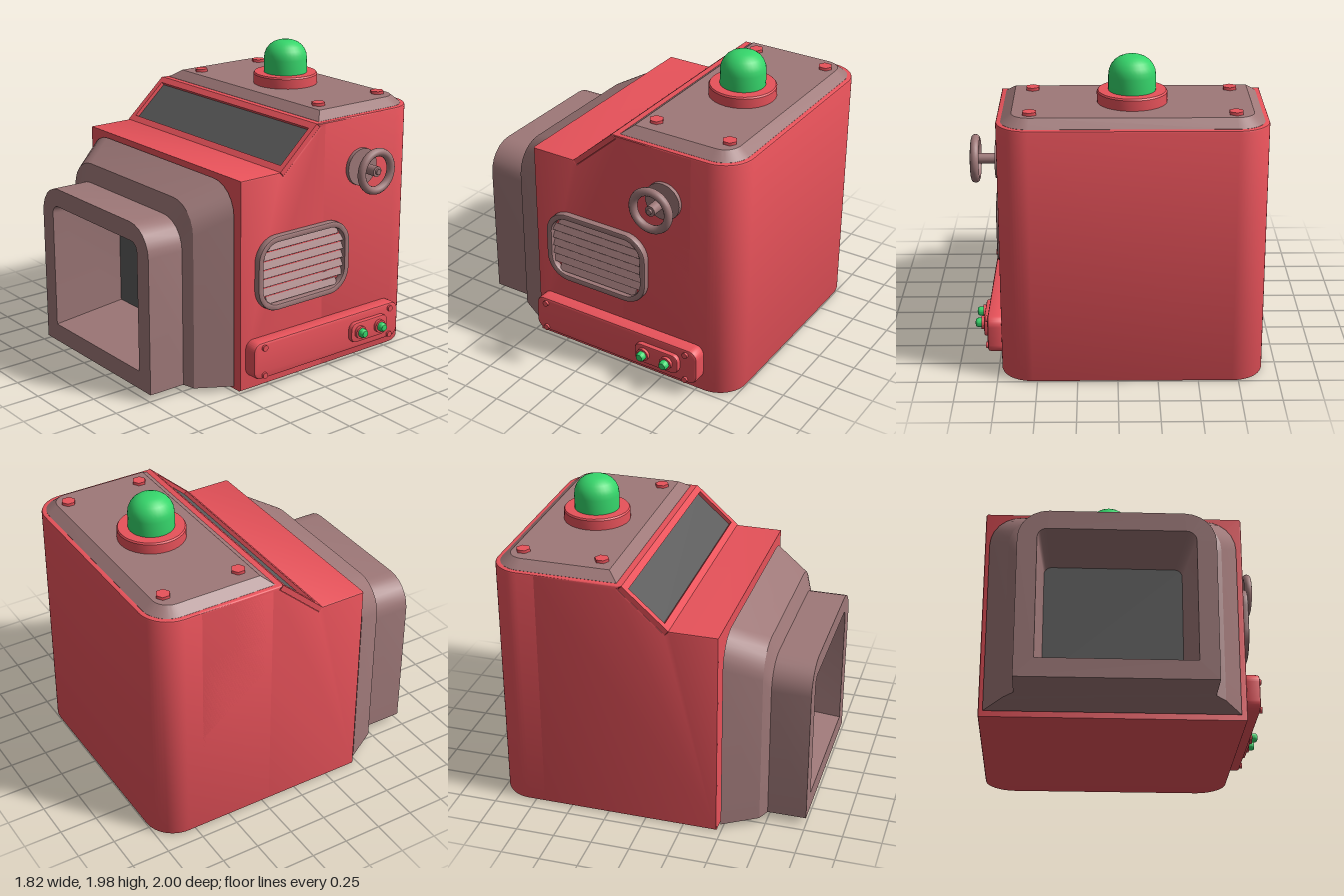
import * as THREE from 'three';
import { toCreasedNormals } from 'three/addons/utils/BufferGeometryUtils.js';

const paint = (color) => new THREE.MeshStandardMaterial({ color });
const RED = paint(0xe8525a), BROWN = paint(0x9e7878), DARK = paint(0x5c5c5c), GREEN = paint(0x35d66b);
const CX = -0.09;   // middle of the cabinet
const SIDE = 0.73;  // x of the cabinet's left wall

export function createModel() {
  const model = new THREE.Group();

  const add = (name, geometry, material, x = 0, y = 0, z = 0, parent = model) => {
    const mesh = new THREE.Mesh(geometry, material);
    mesh.name = name;
    mesh.position.set(x, y, z);
    parent.add(mesh);
    return mesh;
  };

  // rectangle with separate radii for its bottom and top corners
  const rect = (x0, x1, y0, y1, rb = 0, rt = rb, Type = THREE.Shape) => {
    const s = new Type();
    s.moveTo(x0 + rb, y0).lineTo(x1 - rb, y0);
    if (rb) s.absarc(x1 - rb, y0 + rb, rb, -Math.PI / 2, 0, false);
    s.lineTo(x1, y1 - rt);
    if (rt) s.absarc(x1 - rt, y1 - rt, rt, 0, Math.PI / 2, false);
    s.lineTo(x0 + rt, y1);
    if (rt) s.absarc(x0 + rt, y1 - rt, rt, Math.PI / 2, Math.PI, false);
    s.lineTo(x0, y0 + rb);
    if (rb) s.absarc(x0 + rb, y0 + rb, rb, Math.PI, Math.PI * 1.5, false);
    return s;
  };

  // extrusion of exact total depth whose bevel stays inside the outline
  const slab = (shape, depth, bevel = 0, size = bevel, segments = 2) => {
    const g = new THREE.ExtrudeGeometry(shape, {
      depth: depth - 2 * bevel, bevelEnabled: bevel > 0, bevelThickness: bevel,
      bevelSize: size, bevelOffset: -size, bevelSegments: segments, curveSegments: 8,
    });
    g.translate(0, 0, bevel);
    return toCreasedNormals(g, 0.6);
  };
  const upright = (g) => g.rotateX(-Math.PI / 2);  // shape (x, -z), grows along +y
  const sideways = (g) => g.rotateY(Math.PI / 2);  // shape (-z, y), grows along +x
  const peg = (r, h, sides = 24) => new THREE.CylinderGeometry(r, r, h, sides);
  const sidePeg = (r, h, sides = 24) => peg(r, h, sides).rotateZ(-Math.PI / 2);

  // Cabinet: side profile with a notch for the sloped window, and a rounded back
  const [sz, sy] = [0.29, 0.26], slope = Math.hypot(sz, sy), sink = 0.035;
  const nz = sy / slope * sink, ny = sz / slope * sink;
  const profile = new THREE.Shape([
    [0.47, 0], [-0.7, 0], [-0.7, 1.64], [-0.13, 1.64], [-0.13 - nz, 1.64 - ny],
    [0.16 - nz, 1.38 - ny], [0.16, 1.38], [0.47, 1.38],
  ].map(([z, y]) => new THREE.Vector2(-z, y)));
  add('cabinetFront', sideways(slab(profile, 1.64, 0.012)), RED, CX - 0.82);
  add('cabinetBack', upright(slab(rect(-0.82, 0.82, 0.2, 1, 0, 0.2), 1.64, 0.012)), RED, CX);

  // Sloped window
  const windowGroup = new THREE.Group();
  windowGroup.name = 'slopedWindow';
  windowGroup.position.set(CX, 1.38 - ny, 0.16 - nz);
  windowGroup.rotation.x = -Math.atan2(sz, sy);
  model.add(windowGroup);
  const frame = rect(-0.82, 0.82, 0, slope);
  frame.holes.push(rect(-0.78, 0.78, 0.045, 0.345, 0, 0, THREE.Path));
  add('windowFrame', slab(frame, sink), RED, 0, 0, 0, windowGroup);
  add('windowGlass', new THREE.BoxGeometry(1.57, 0.31, 0.016), DARK, 0, 0.195, 0.002, windowGroup);

  // Roof plate with hexagonal bolts
  add('roofPlate', upright(slab(rect(-0.79, 0.79, 0.17, 0.97, 0, 0.17), 0.101, 0.05, 0.065, 1)), BROWN, CX, 1.59);
  for (const x of [-0.615, 0.615])
    for (const z of [-0.83, -0.32]) add('roofBolt', peg(0.046, 0.03, 6), RED, CX + x, 1.695, z);

  // Beacon
  const lathe = (points) => toCreasedNormals(
    new THREE.LatheGeometry(points.map(([r, y]) => new THREE.Vector2(r, y)), 32), 0.6);
  add('beaconBase', lathe([[0, 0], [0.215, 0], [0.215, 0.07], [0.208, 0.08], [0, 0.08]]), RED, CX, 1.685, -0.565);
  const dome = [[0.145, 0]];
  for (let i = 0; i <= 6; i++) {
    const a = i / 6 * Math.PI / 2;
    dome.push([0.025 + 0.12 * Math.cos(a), 0.1 + 0.12 * Math.sin(a)]);
  }
  dome.push([0, 0.22]);
  add('beaconLamp', lathe(dome), GREEN, CX, 1.76, -0.565);

  // Screen hood: rings with rounded top corners, lofted out, over the rim and back in
  const ring = ([x0, x1, y0, y1, r, z]) => {
    const pts = [[x0, y0, z], [x1, y0, z]];
    for (const [cx, start] of [[x1 - r, 0], [x0 + r, Math.PI / 2]])
      for (let i = 0; i <= 6; i++) {
        const a = start + i / 6 * Math.PI / 2;
        pts.push([cx + r * Math.cos(a), y1 - r + r * Math.sin(a), z]);
      }
    return pts;
  };
  const rings = [
    [-0.53, 0.34, 0.24, 0.99, 0.05, 0.49],
    [-0.88, 0.69, 0.03, 1.35, 0.2, 0.49],
    [-0.75, 0.57, 0.035, 1.24, 0.2, 0.71],
    [-0.69, 0.51, 0.05, 1.13, 0.19, 0.75],
    [-0.69, 0.51, 0.05, 1.13, 0.19, 1],
    [-0.57, 0.39, 0.17, 1.01, 0.06, 1],
    [-0.53, 0.34, 0.24, 0.99, 0.05, 0.5],
  ].map(ring);
  const n = rings[0].length, index = [];
  for (let k = 0; k < rings.length - 1; k++)
    for (let i = 0; i < n; i++) {
      const a = k * n + i, b = k * n + (i + 1) % n;
      index.push(a, b, b + n, a, b + n, a + n);
    }
  const hood = new THREE.BufferGeometry();
  hood.setAttribute('position', new THREE.Float32BufferAttribute(rings.flat(2), 3));
  hood.setIndex(index);
  add('screenHood', toCreasedNormals(hood, 0.4), BROWN);
  add('screen', new THREE.BoxGeometry(0.87, 0.75, 0.02), DARK, -0.095, 0.615, 0.5);
  add('hoodNeck', new THREE.BoxGeometry(0.86, 0.75, 0.04), BROWN, -0.095, 0.615, 0.475);

  // Valve wheel on the left wall
  add('valveFlange', sidePeg(0.122, 0.03, 32), BROWN, SIDE + 0.01, 1.3, -0.505);
  add('valveStem', sidePeg(0.034, 0.15), BROWN, SIDE + 0.085, 1.3, -0.505);
  add('valveStemTip', sidePeg(0.018, 0.02), BROWN, SIDE + 0.165, 1.3, -0.505);
  add('valveWheel', new THREE.TorusGeometry(0.125, 0.027, 12, 40).rotateY(Math.PI / 2), BROWN, 0.88, 1.3, -0.505);

  // Louvred vent
  const vent = rect(-0.36, 0.39, 0.5, 0.99, 0.16);
  vent.holes.push(rect(-0.32, 0.35, 0.54, 0.95, 0.12, 0.12, THREE.Path));
  add('ventFrame', sideways(slab(vent, 0.05, 0.01)), BROWN, SIDE - 0.005);
  for (let i = 0; i < 7; i++) {
    const edge = i === 0 || i === 6;
    const slat = add('ventSlat', new THREE.BoxGeometry(0.012, 0.046, edge ? 0.58 : 0.67), BROWN,
      SIDE + 0.012, 0.57 + i * 0.058, -0.015);
    slat.rotation.z = 0.5;
  }

  // Control panel with two indicator lamps
  add('controlPanel', sideways(slab(rect(-0.43, 0.8, 0.09, 0.335, 0.06), 0.1, 0.015)), RED, SIDE - 0.01);
  add('lampPlate', sideways(slab(rect(0.36, 0.68, 0.145, 0.28, 0.045), 0.04, 0.008)), RED, 0.81);
  for (const z of [0.35, -0.72])
    for (const y of [0.115, 0.3]) add('panelScrew', sidePeg(0.02, 0.03, 12), RED, 0.82, y, z);
  for (const z of [-0.43, -0.6]) {
    add('lampCollar', sidePeg(0.043, 0.03), RED, 0.855, 0.215, z);
    add('indicatorLamp', lathe([[0.03, 0], [0.03, 0.03], [0.022, 0.042], [0, 0.045]]).rotateZ(-Math.PI / 2),
      GREEN, 0.865, 0.215, z);
  }
  return model;
}
